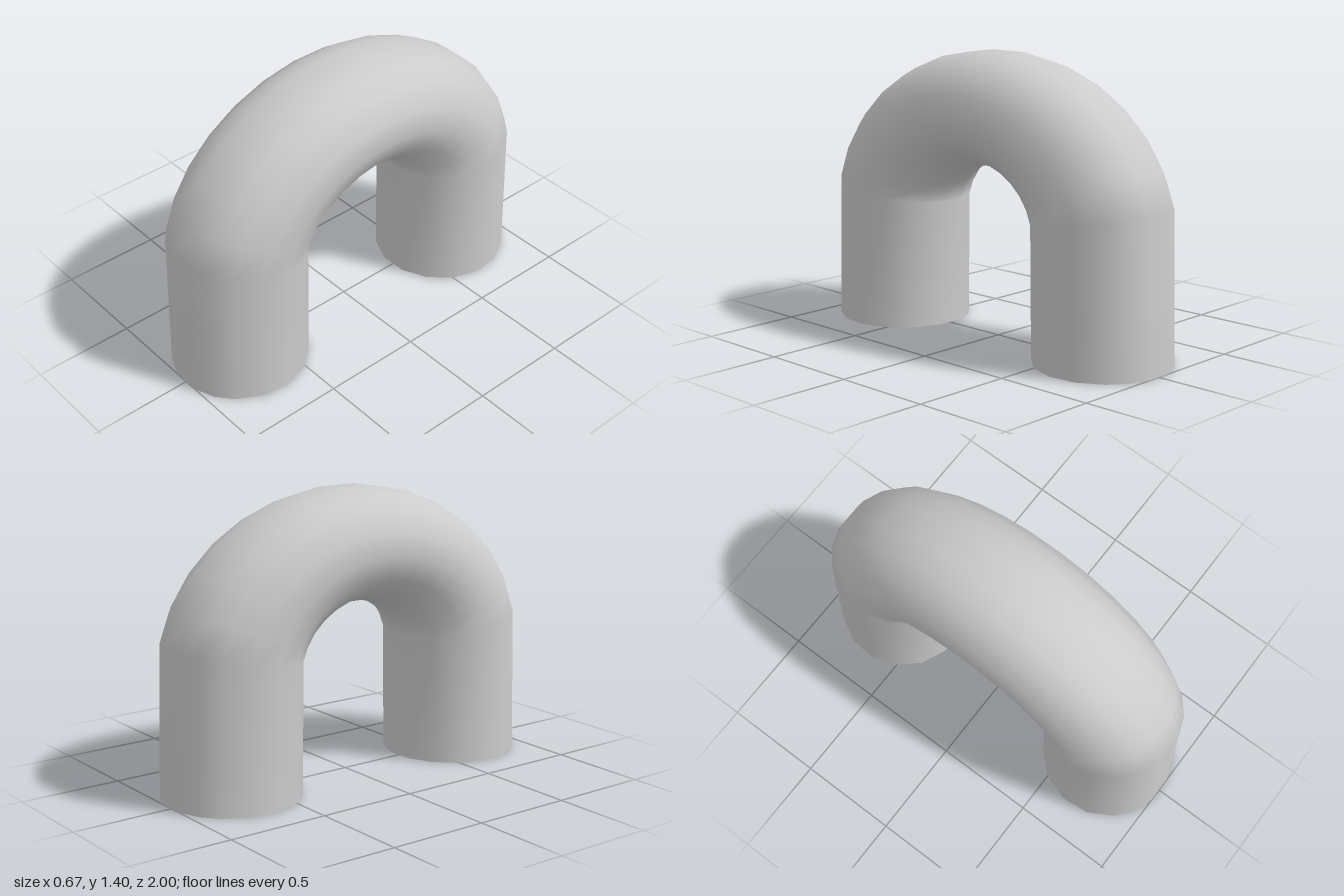
import * as THREE from 'three';

const BEND_RADIUS = 0.672, TUBE_RADIUS = 0.335;
const ARCH_BASE = 0.569, ARCH_SQUASH = 0.836;

export function createModel() {
  // Cross-section angles, mirrored left to right, measured from the outside of the bend
  const half = [12, 30, 48, 72, 96, 120, 144, 168];
  const section = [...half, ...half.map(a => 360 - a).reverse()].map(THREE.MathUtils.degToRad);
  const n = section.length;

  // Rings every 12 degrees along the bend; the end rings are the feet on the ground
  const positions = [], index = [];
  const rings = 16;
  for (let j = 0; j < rings; j++) {
    const phi = THREE.MathUtils.degToRad(-90 + 12 * j);
    const foot = j === 0 || j === rings - 1;
    for (const theta of section) {
      const rho = BEND_RADIUS + TUBE_RADIUS * Math.cos(theta);
      positions.push(
        TUBE_RADIUS * Math.sin(theta),
        foot ? 0 : ARCH_BASE + ARCH_SQUASH * rho * Math.cos(phi),
        rho * Math.sin(phi)
      );
    }
  }

  // Skin the rings with shared vertices, leaving both feet open
  for (let j = 0; j < rings - 1; j++) {
    for (let i = 0; i < n; i++) {
      const k = (i + 1) % n;
      const a = j * n + i, b = j * n + k, c = a + n, d = b + n;
      index.push(a, c, b, b, c, d);
    }
  }

  const geometry = new THREE.BufferGeometry();
  geometry.setAttribute('position', new THREE.Float32BufferAttribute(positions, 3));
  geometry.setIndex(index);
  geometry.computeVertexNormals();

  const pipe = new THREE.Mesh(
    geometry,
    new THREE.MeshStandardMaterial({ color: 0xcccccc, side: THREE.DoubleSide })
  );
  pipe.name = 'archedPipe';

  const group = new THREE.Group();
  group.name = 'pipeArch';
  group.add(pipe);
  return group;
}
